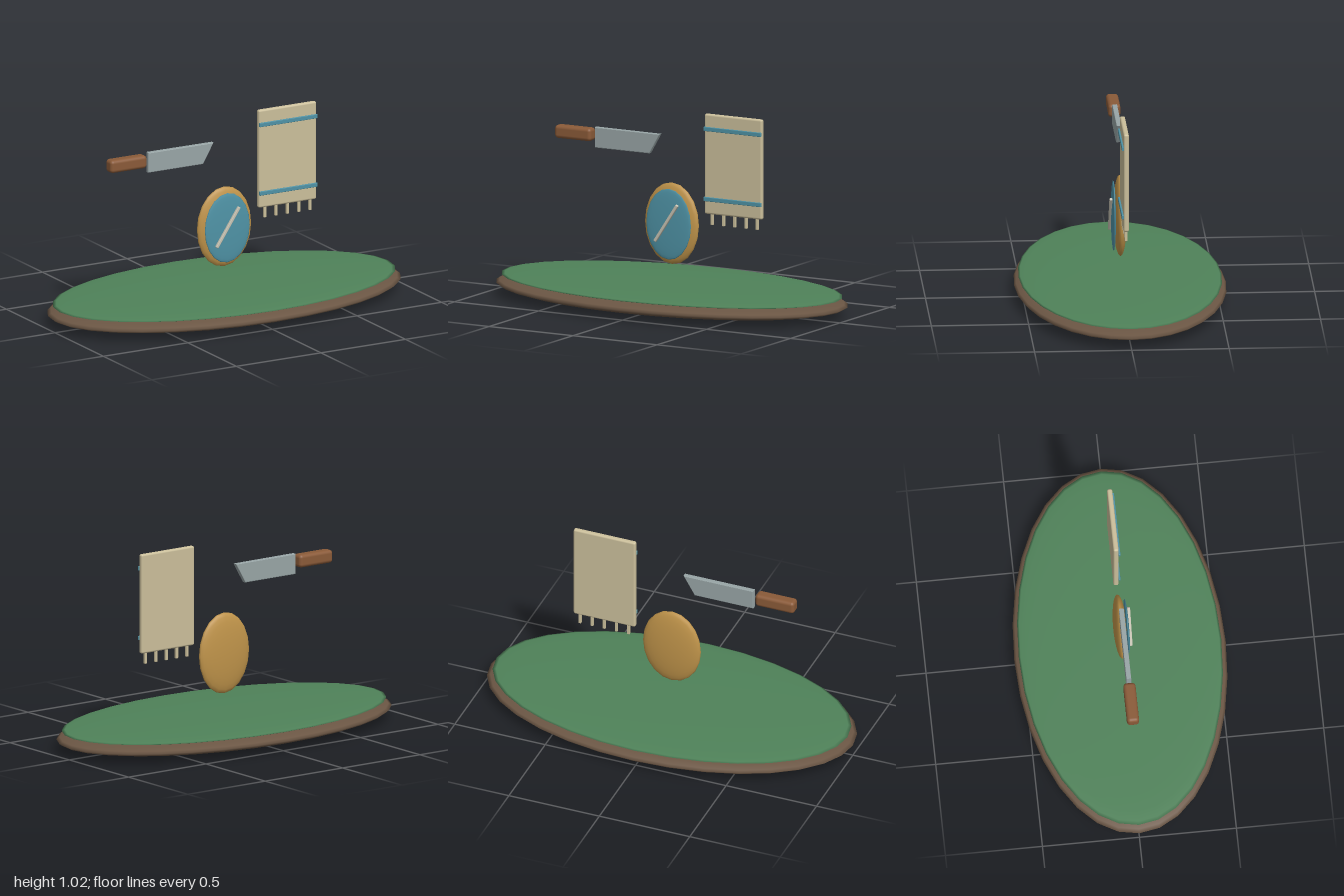
import * as THREE from 'three';
import { RoundedBoxGeometry } from 'three/addons/geometries/RoundedBoxGeometry.js';

const COLORS = {
  wood: 0x6b5644, green: 0x4f8259, gold: 0xc0944a, teal: 0x4f93a6,
  cloth: 0xcbbf9b, handle: 0x8a5a38, steel: 0x98a5a6, pale: 0xc8c4b4,
};
const materials = {};
for (const key in COLORS) materials[key] = new THREE.MeshStandardMaterial({ color: COLORS[key] });

function addMesh(parent, name, geometry, color, x, y, z) {
  const mesh = new THREE.Mesh(geometry, materials[color]);
  mesh.name = name;
  mesh.position.set(x, y, z);
  parent.add(mesh);
  return mesh;
}

function addGroup(parent, name) {
  const group = new THREE.Group();
  group.name = name;
  parent.add(group);
  return group;
}

// Flattened sphere; facing = true turns its poles to the front and back
function disc(rx, ry, rz, segments, rows, facing = false) {
  const geometry = new THREE.SphereGeometry(1, segments, rows);
  if (facing) geometry.rotateX(Math.PI / 2);
  return geometry.scale(rx, ry, rz);
}

const softBox = (w, h, d, r) => new RoundedBoxGeometry(w, h, d, 3, r);

export function createModel() {
  const model = new THREE.Group();
  model.name = 'model';

  // Oval base with a thinner oval top
  const base = addGroup(model, 'base');
  addMesh(base, 'baseRim', disc(1, 0.06, 0.545, 32, 16), 'wood', 0, 0.06, 0);
  addMesh(base, 'baseTop', disc(0.97, 0.02, 0.522, 32, 16), 'green', 0, 0.104, 0);

  // Upright oval mirror with a slanted glint
  const mirror = addGroup(model, 'mirror');
  addMesh(mirror, 'mirrorFrame', disc(0.16, 0.213, 0.035, 20, 14, true), 'gold', 0, 0.425, 0);
  addMesh(mirror, 'mirrorGlass', disc(0.133, 0.185, 0.011, 20, 14, true), 'teal', 0, 0.425, 0.034);
  const glint = addMesh(mirror, 'mirrorGlint', softBox(0.016, 0.24, 0.016, 0.004), 'pale', -0.006, 0.432, 0.05);
  glint.rotation.z = -0.59;

  // Knife: rounded handle and slant-ended blade
  const knife = addGroup(model, 'knife');
  addMesh(knife, 'knifeHandle', softBox(0.215, 0.068, 0.063, 0.018), 'handle', -0.577, 0.843, 0);
  const bevel = 0.004;
  const outline = new THREE.Shape([
    [-0.45, 0.782], [-0.132, 0.782], [-0.073, 0.881], [-0.45, 0.881],
  ].map(([x, y]) => new THREE.Vector2(x, y)));
  const blade = new THREE.ExtrudeGeometry(outline, {
    depth: 0.018, bevelEnabled: true, bevelSize: bevel, bevelThickness: bevel, bevelSegments: 2,
  });
  addMesh(knife, 'knifeBlade', blade, 'steel', 0, 0, -0.009);

  // Hanging towel with two stripes and a row of tassels
  const towel = addGroup(model, 'towel');
  addMesh(towel, 'towelCloth', softBox(0.342, 0.522, 0.027, 0.01), 'cloth', 0.37, 0.756, 0);
  for (const y of [0.94, 0.574]) {
    addMesh(towel, 'towelStripe', softBox(0.342, 0.022, 0.01, 0.003), 'teal', 0.37, y, 0.018);
  }
  for (let i = 0; i < 5; i++) {
    addMesh(towel, 'towelTassel', softBox(0.015, 0.065, 0.014, 0.003), 'cloth', 0.24 + i * 0.067, 0.471, 0);
  }

  return model;
}
